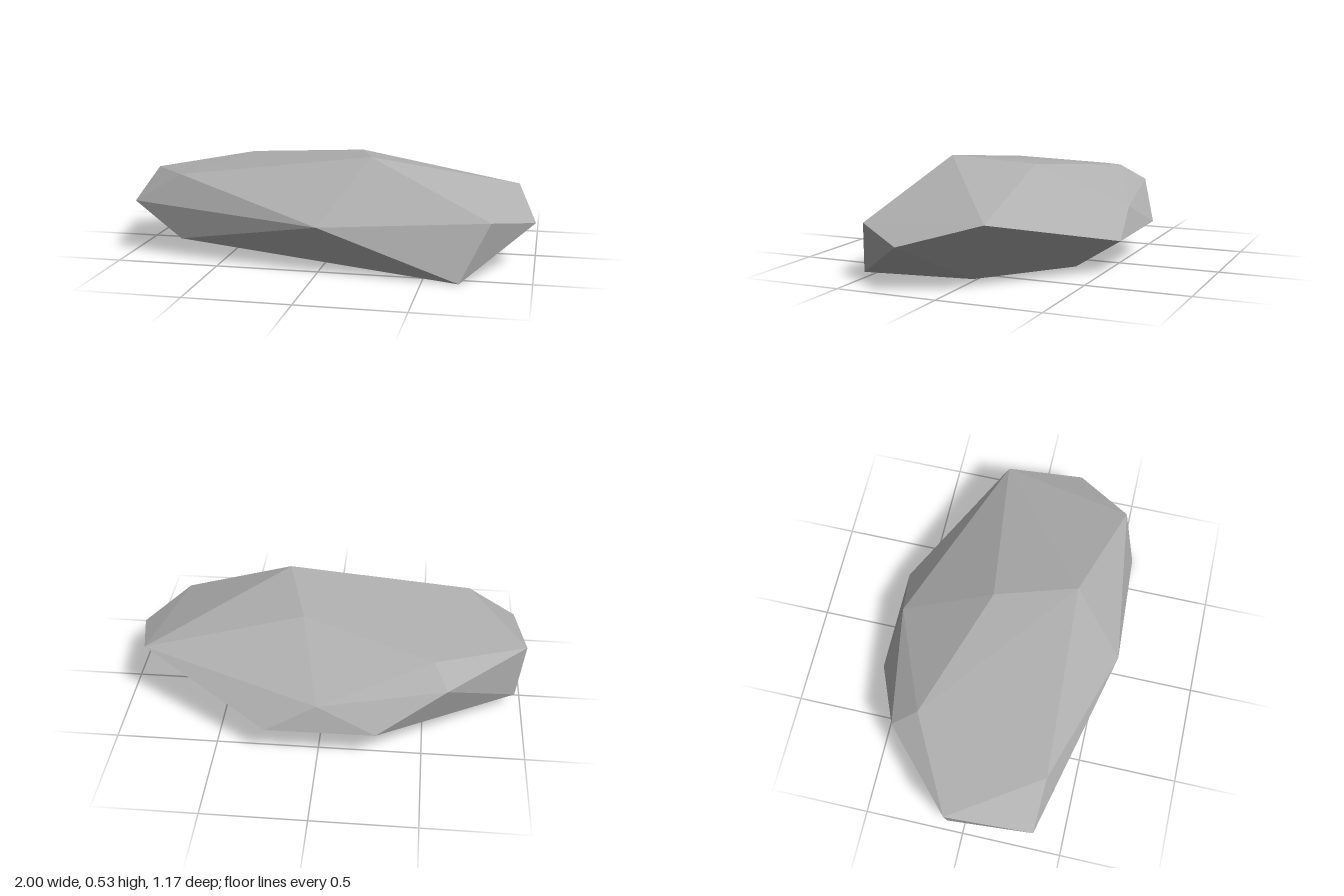
import * as THREE from 'three';
import { ConvexGeometry } from 'three/addons/geometries/ConvexGeometry.js';

export function createModel() {
  const group = new THREE.Group();
  group.name = 'rock';

  const stone = new THREE.MeshStandardMaterial({ color: 0xb0b0b0, flatShading: true });
  stone.name = 'grey stone';

  const corners = [
    // upper ridge
    [-0.72, 0.415, 0.36], [0.22, 0.527, 0.315], [0.11, 0.49, -0.09], [-0.54, 0.42, -0.32],
    // belt, going round from the right side through the front
    [-1, 0.362, -0.08], [-0.965, 0.27, 0.35], [0.01, 0.237, 0.585], [0.805, 0.27, 0.478],
    [1, 0.215, 0.197], [0.905, 0.325, -0.19],
    // back edge
    [0.25, 0.165, -0.587], [0.005, 0.292, -0.547], [-0.28, 0.17, -0.587], [-0.61, 0.34, -0.44],
    // underside
    [0.67, 0, 0.563], [0.63, 0.01, 0], [0.24, 0.02, -0.36], [-0.72, 0.095, 0.38], [-0.965, 0.07, -0.085],
  ].map((p) => new THREE.Vector3(...p));

  // faceted boulder stretched over its corners
  const boulder = new THREE.Mesh(new ConvexGeometry(corners), stone);
  boulder.name = 'boulder';
  group.add(boulder);
  return group;
}
